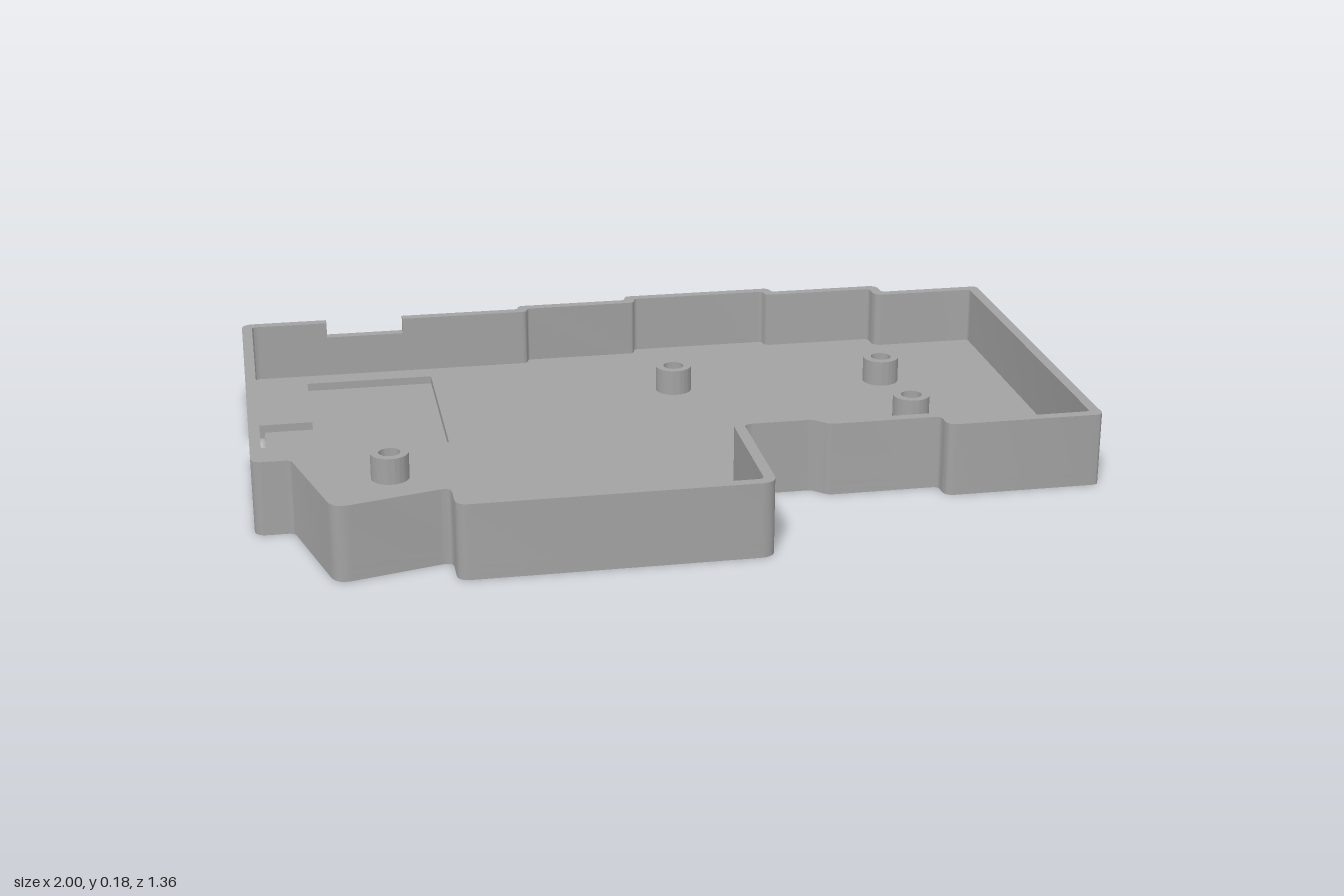
import * as THREE from 'three';
import { toCreasedNormals } from 'three/addons/utils/BufferGeometryUtils.js';

const FLOOR = 0.035, POCKET = 0.015, TOP = 0.18, WALL = 0.026;

// Outline corners as [x, z, radius], clockwise seen from above.
const backLeft = [-1, -0.625, 0.04];
const outline = [
  [-0.27, -0.625, 0.012], [-0.265, -0.65, 0.025],
  [0.025, -0.65, 0.012], [0.03, -0.68, 0.025],
  [0.43, -0.68, 0.025], [0.435, -0.65, 0.012],
  [0.73, -0.65, 0.03], [0.73, -0.595, 0.015],
  [1, -0.595, 0.015], [1, 0.41, 0.02],
  [0.615, 0.41, 0.03], [0.615, 0.355, 0.015],
  [0.345, 0.355, 0.03], [0.31, 0.32, 0.02],
  [0.145, 0.32, 0.02], [0.145, 0.68, 0.04],
  [-0.57, 0.68, 0.03], [-0.57, 0.58, 0.02],
  [-0.832, 0.648, 0.04], [-0.91, 0.355, 0.02],
  [-1, 0.355, 0.03],
];

// Rounds the corners that have a radius; returns plan points.
function roundCorners(pts) {
  const out = [], n = pts.length;
  pts.forEach(([x, z, r], i) => {
    const p = new THREE.Vector2(x, z);
    if (!r) return out.push(p);
    const a = new THREE.Vector2(...pts[(i + n - 1) % n].slice(0, 2)).sub(p);
    const b = new THREE.Vector2(...pts[(i + 1) % n].slice(0, 2)).sub(p);
    const turn = Math.PI - Math.acos(a.dot(b) / (a.length() * b.length()));
    const len = Math.min(r * Math.tan(turn / 2), 0.48 * a.length(), 0.48 * b.length());
    const start = a.setLength(len).add(p), end = b.setLength(len).add(p);
    out.push(...new THREE.QuadraticBezierCurve(start, p, end).getPoints(7));
  });
  return out;
}

// Offsets an open path inward by the wall thickness.
function inset(path) {
  const dir = (a, b) => new THREE.Vector2(b[0] - a[0], b[1] - a[1]).normalize();
  return path.map((p, i) => {
    const d1 = i ? dir(path[i - 1], p) : dir(p, path[1]);
    const d2 = i < path.length - 1 ? dir(p, path[i + 1]) : d1;
    const k = WALL / (1 + d1.dot(d2));
    const r = d1.cross(d2) > 0 ? Math.max(p[2] - WALL, 0.01) : p[2] + WALL;
    return [p[0] - (d1.y + d2.y) * k, p[1] + (d1.x + d2.x) * k, p[2] ? r : 0];
  });
}

export function createModel() {
  const group = new THREE.Group();
  const plastic = new THREE.MeshStandardMaterial({ color: 0xa2a2a2 });
  plastic.name = 'grey plastic';

  function add(name, geometry) {
    const mesh = new THREE.Mesh(toCreasedNormals(geometry, 0.5), plastic);
    mesh.name = name;
    group.add(mesh);
    return mesh;
  }

  // Extrudes a plan shape upward from y0 to y1.
  function slab(name, shape, y0, y1) {
    const g = new THREE.ExtrudeGeometry(shape, { depth: y1 - y0, bevelEnabled: false, curveSegments: 24 });
    g.rotateX(-Math.PI / 2).translate(0, y0, 0);
    return add(name, g);
  }
  const plan = pts => new THREE.Shape(pts.map(p => new THREE.Vector2(p.x, -p.y)));
  const wall = (name, path, y1) =>
    slab(name, plan(roundCorners([...path, ...inset(path).reverse()])), FLOOR, y1);

  // Floor in two layers: cable slot cut through, shallow pocket in the upper one
  const base = [backLeft, ...outline];
  slab('floorBase', plan(roundCorners([...base,
    [-1, -0.1, 0], [-0.96, -0.1, 0], [-0.96, -0.256, 0], [-1, -0.256, 0]])), 0, POCKET);
  slab('floorTop', plan(roundCorners([...base,
    [-1, -0.1, 0], [-0.84, -0.1, 0], [-0.84, -0.06, 0], [-0.515, -0.06, 0],
    [-0.515, -0.54, 0], [-0.84, -0.54, 0], [-0.84, -0.256, 0], [-1, -0.256, 0]])), POCKET, FLOOR);

  // Walls, with a lowered section at the back
  wall('cornerWall', [[-1, -0.56, 0], backLeft, [-0.78, -0.625, 0]], TOP);
  wall('loweredWall', [[-0.78, -0.625, 0], [-0.58, -0.625, 0]], 0.14);
  wall('mainWall', [[-0.58, -0.625, 0], ...outline, [-1, 0.3, 0]], TOP);

  // Side panel with a port window and a slot open to the floor
  const panel = new THREE.Shape([
    [0.56, FLOOR], [0.256, FLOOR], [0.256, 0.1], [0.1, 0.1], [0.1, FLOOR],
    [-0.3, FLOOR], [-0.3, TOP], [0.56, TOP],
  ].map(p => new THREE.Vector2(...p)));
  panel.holes.push(new THREE.Path([
    [0.37, 0.045], [0.53, 0.045], [0.53, 0.105], [0.37, 0.105],
  ].map(p => new THREE.Vector2(...p))));
  const side = new THREE.ExtrudeGeometry(panel, { depth: WALL, bevelEnabled: false });
  side.rotateY(Math.PI / 2).translate(-1, 0, 0);
  add('portWall', side);

  // Hollow screw posts
  const ring = new THREE.Shape().absarc(0, 0, 0.046, 0, Math.PI * 2);
  ring.holes.push(new THREE.Path().absarc(0, 0, 0.026, 0, Math.PI * 2));
  for (const [x, z] of [[0.1, -0.33], [0.65, -0.3], [0.65, -0.01], [-0.675, 0.145], [-0.21, 0.6]]) {
    slab('screwPost', ring, FLOOR, 0.1).position.set(x, 0, z);
  }
  return group;
}
